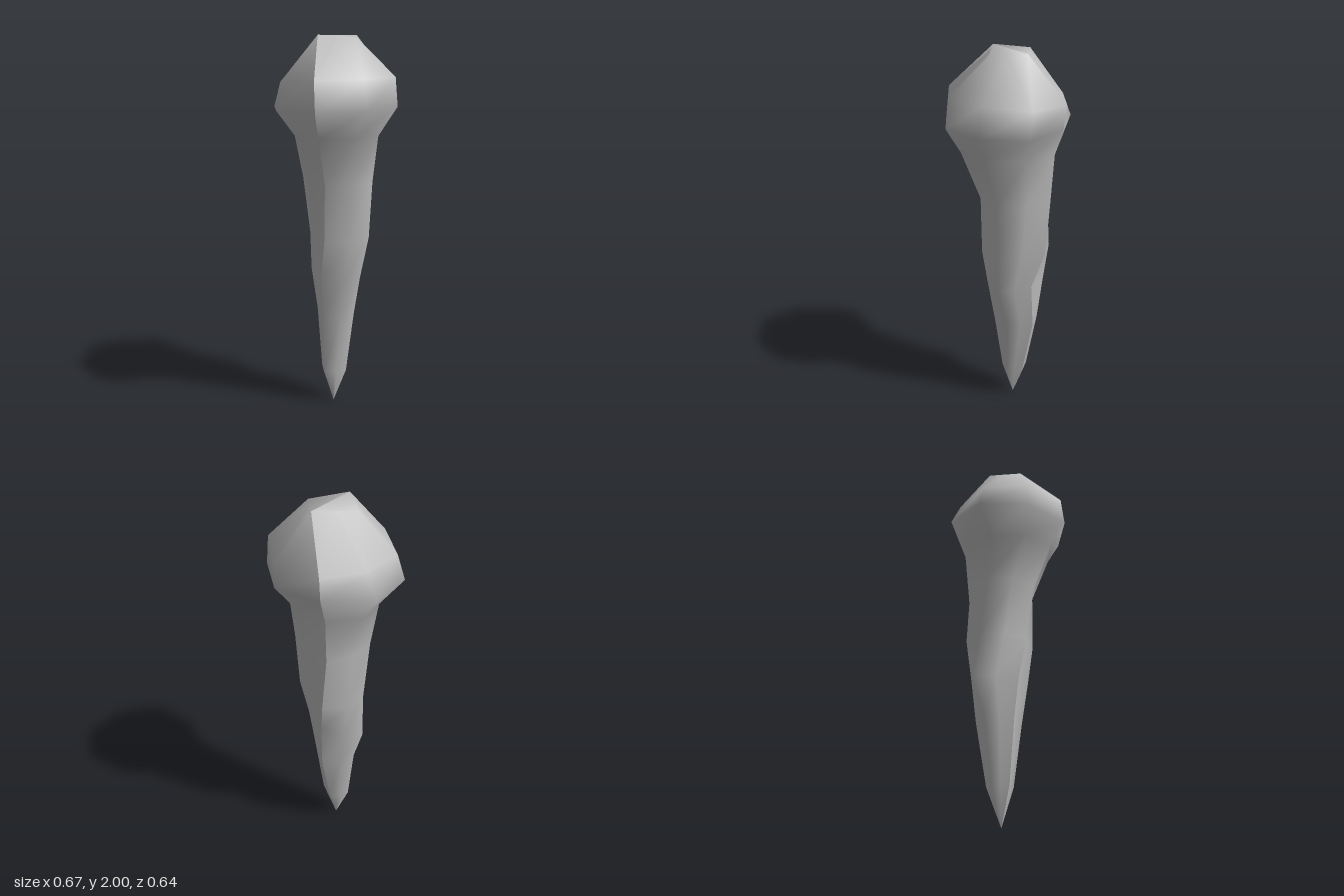
import * as THREE from 'three';

// Rings from tip to crown. Each has its front, +x, back and -x points,
// and how far the corner after each of them bulges out.
const RINGS = [
  { points: [[-0.045, 0.2, 0.02], [0.065, 0.2, -0.035], [0.01, 0.2, -0.11], [-0.085, 0.2, -0.057]], full: [0.75, 0.5, 0.75, 0.5] },
  { points: [[-0.045, 0.53, 0.045], [0.1, 0.53, -0.06], [0.035, 0.53, -0.18], [-0.12, 0.53, -0.08]], full: [0.9, 0.5, 0.75, 0.48] },
  { points: [[-0.04, 0.75, 0.07], [0.145, 0.75, -0.025], [0.04, 0.77, -0.17], [-0.175, 0.74, -0.13]], full: [0.77, 0.5, 0.65, 0.48] },
  { points: [[-0.01, 0.96, 0.1], [0.185, 0.97, -0.045], [0.017, 0.97, -0.235], [-0.165, 0.96, -0.09]], full: [0.75, 0.53, 0.7, 0.53] },
  { points: [[0.01, 1.27, 0.14], [0.2, 1.27, -0.05], [-0.01, 1.27, -0.245], [-0.185, 1.27, -0.045]], full: [0.65, 0.65, 0.65, 0.6] },
  { points: [[0.015, 1.51, 0.24], [0.24, 1.51, -0.01], [-0.01, 1.51, -0.26], [-0.22, 1.51, -0.01]], full: [0.68, 0.68, 0.73, 0.67] },
  { points: [[0.03, 1.64, 0.32], [0.33, 1.655, -0.035], [0, 1.645, -0.305], [-0.335, 1.64, -0.02]], full: [0.69, 0.7, 0.73, 0.72] },
  { points: [[0.02, 1.79, 0.305], [0.318, 1.8, -0.03], [0, 1.765, -0.32], [-0.295, 1.765, -0.02]], full: [0.67, 0.72, 0.64, 0.7] },
  { points: [[-0.045, 2, 0.09], [0.135, 1.975, 0.025], [0.075, 2, -0.15], [-0.12, 1.985, -0.07]], full: [0.5, 0.5, 0.5, 0.5] },
];
const TIP = [-0.01, 0.005, -0.04];

// Five points of half a ring, running from seam to seam
function halfRing({ points, full }, start) {
  const cx = (points[1][0] + points[3][0]) / 2;
  const cz = (points[0][2] + points[2][2]) / 2;
  const at = (i) => points[i % 4];
  const corner = (i) => {
    const p = at(i), q = at(i + 1), k = full[i];
    return [
      cx + k * (p[0] + q[0] - 2 * cx),
      (p[1] + q[1]) / 2,
      cz + k * (p[2] + q[2] - 2 * cz),
    ];
  };
  return [at(start), corner(start), at(start + 1), corner(start + 1), at(start + 2)];
}

// Smooth half shell, leaving a sharp seam where the two halves meet
function halfShell(start) {
  const rows = [Array(5).fill(TIP), ...RINGS.map((ring) => halfRing(ring, start))];
  const index = [];
  for (let j = 0; j < rows.length - 1; j++) {
    for (let i = 0; i < 4; i++) {
      const a = j * 5 + i, c = a + 5;
      if (j > 0) index.push(a, a + 1, c + 1);
      index.push(a, c + 1, c);
    }
  }
  // Crown
  const top = (rows.length - 1) * 5;
  for (let i = 1; i < 4; i++) index.push(top, top + i, top + i + 1);

  const geometry = new THREE.BufferGeometry();
  geometry.setAttribute('position', new THREE.Float32BufferAttribute(rows.flat(2), 3));
  geometry.setIndex(index);
  geometry.computeVertexNormals();
  return geometry;
}

export function createModel() {
  const group = new THREE.Group();
  group.name = 'knobbedSpike';
  const grey = new THREE.MeshStandardMaterial({ color: 0xbebebe });
  grey.name = 'grey';
  for (const [name, start] of [['leftHalf', 0], ['rightHalf', 2]]) {
    const mesh = new THREE.Mesh(halfShell(start), grey);
    mesh.name = name;
    group.add(mesh);
  }
  return group;
}
